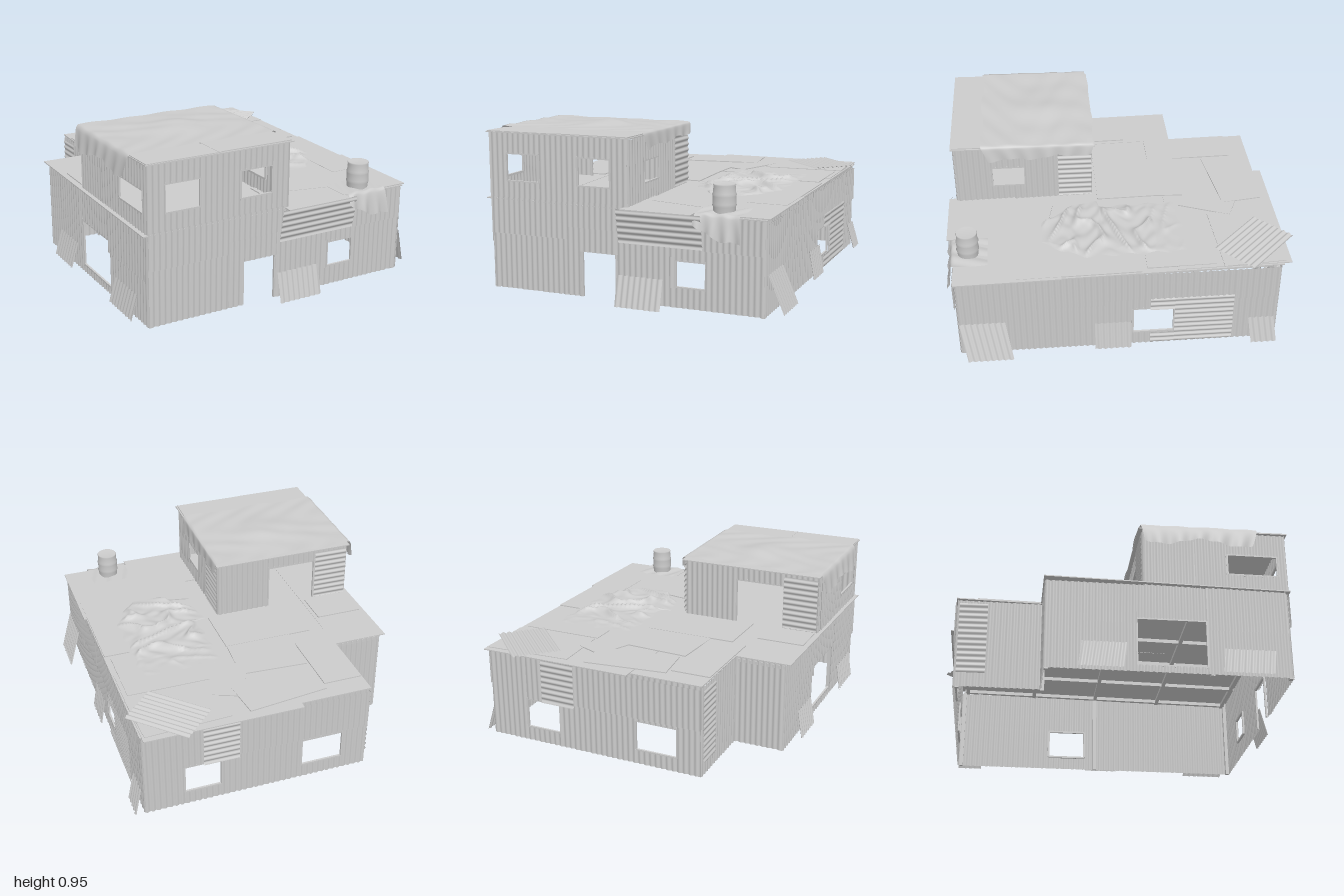
import * as THREE from 'three';

const mat = new THREE.MeshStandardMaterial({ color: 0xcccccc, side: THREE.DoubleSide });
const PERIOD = 0.034, AMP = 0.004;

function add(parent, name, geo) {
  const m = new THREE.Mesh(geo, mat);
  m.name = name;
  parent.add(m);
  return m;
}

// Corrugated upright sheet. face: 'z' spans x, 'x' spans z; sign is the outward direction.
function sheet(parent, name, face, at, sign, [u0, u1, y0, y1], o = {}) {
  const { horizontal = false, out = 0, lean = 0, skew = 0 } = o;
  const len = horizontal ? y1 - y0 : u1 - u0;
  const n = Math.max(2, Math.ceil(len / PERIOD * 6));
  const geo = new THREE.PlaneGeometry(1, 1, horizontal ? 1 : n, horizontal ? n : 1);
  const p = geo.attributes.position;
  for (let i = 0; i < p.count; i++) {
    const t = p.getY(i) + 0.5;
    const y = y0 + t * (y1 - y0);
    const w = u0 + (p.getX(i) + 0.5) * (u1 - u0);
    const d = out + lean * (1 - t) + AMP * Math.sin((horizontal ? y : w) / PERIOD * Math.PI * 2);
    const u = w + skew * t;
    if (face === 'z') p.setXYZ(i, u, y, at + sign * d);
    else p.setXYZ(i, at + sign * d, y, u);
  }
  geo.computeVertexNormals();
  return add(parent, name, geo);
}

// Corrugated wall split around rectangular openings [u0, u1, y0, y1], with thin frames
function wall(parent, name, face, at, sign, [u0, u1, y0, y1], holes = []) {
  const g = new THREE.Group();
  g.name = name;
  parent.add(g);
  const cuts = [u0, u1, ...holes.flatMap(h => [h[0], h[1]])].sort((a, b) => a - b);
  for (let i = 0; i + 1 < cuts.length; i++) {
    const a = cuts[i], b = cuts[i + 1];
    if (b - a < 1e-4) continue;
    const h = holes.find(k => k[0] <= a + 1e-5 && k[1] >= b - 1e-5);
    const spans = h ? [[y0, h[2]], [h[3], y1]] : [[y0, y1]];
    for (const [c, d] of spans) if (d - c > 0.002) sheet(g, 'wallSheet', face, at, sign, [a, b, c, d]);
  }
  for (const [a, b, c, d] of holes) {
    for (const u of [a, b]) bar(g, 'openingFrame', face, at - sign * 0.008, u, (c + d) / 2, 0.012, d - c);
    for (const y of [c, d]) if (y > y0) bar(g, 'openingFrame', face, at - sign * 0.008, (a + b) / 2, y, b - a, 0.012);
  }
}

function bar(parent, name, face, at, u, y, w, h) {
  const m = add(parent, name, new THREE.BoxGeometry(face === 'z' ? w : 0.012, h, face === 'z' ? 0.012 : w));
  m.position.set(face === 'z' ? u : at, y, face === 'z' ? at : u);
}

// Flat roof plate from its plan extents; y follows a function of z
function plate(parent, name, [x0, x1, z0, z1], y, tilt = 0, turn = 0) {
  const m = add(parent, name, new THREE.BoxGeometry(x1 - x0, 0.006, z1 - z0));
  m.position.set((x0 + x1) / 2, y, (z0 + z1) / 2);
  m.rotation.set(tilt, turn, 0);
}

// Cloth built by mapping (s, t) in 0..1 to a point
function cloth(parent, name, nu, nv, fn) {
  const geo = new THREE.PlaneGeometry(1, 1, nu, nv);
  const p = geo.attributes.position;
  for (let i = 0; i < p.count; i++) p.setXYZ(i, ...fn(p.getX(i) + 0.5, 0.5 - p.getY(i)));
  geo.computeVertexNormals();
  add(parent, name, geo);
}

const SLOPE = 0.014;
const roofY = z => 0.549 - SLOPE * z;

export function createModel() {
  const root = new THREE.Group();
  root.name = 'shack';

  // Ground floor walls
  const B = 0.02, T = 0.535;
  wall(root, 'frontWall', 'z', 0.945, 1, [-0.83, 0.81, B, T], [[-0.26, -0.05, B, 0.28], [0.3, 0.475, 0.13, 0.28]]);
  wall(root, 'rightWall', 'x', 0.805, 1, [-0.89, 0.945, B, T], [[-0.29, -0.05, 0.1, 0.28]]);
  wall(root, 'backWall', 'z', -0.89, -1, [-0.53, 0.805, B, 0.555], [[-0.385, -0.13, 0.1, 0.28], [0.35, 0.57, 0.1, 0.28]]);
  wall(root, 'notchWall', 'x', -0.53, -1, [-0.89, -0.41, B, 0.55]);
  wall(root, 'wingBackWall', 'z', -0.41, -1, [-0.83, -0.53, B, 0.55]);
  wall(root, 'leftWall', 'x', -0.83, -1, [-0.41, 0.945, B, 0.545], [[0.09, 0.48, 0.06, 0.34]]);

  // Upper room walls
  const U0 = 0.54, U1 = 0.908;
  wall(root, 'upperFrontWall', 'z', 0.95, 1, [-0.835, 0.025, U0, U1 + 0.005], [[-0.73, -0.52, 0.64, 0.8], [-0.28, -0.08, 0.64, 0.8]]);
  wall(root, 'upperRightWall', 'x', 0.025, 1, [0.13, 0.95, U0, U1], [[0.53, 0.73, 0.64, 0.77]]);
  wall(root, 'upperLeftWall', 'x', -0.835, -1, [0.13, 0.95, U0, U1], [[0.61, 0.9, 0.64, 0.77]]);
  wall(root, 'upperBackWall', 'z', 0.13, -1, [-0.835, 0.025, U0, U1 - 0.01], [[-0.62, -0.31, U0, 0.82]]);

  // Patches nailed over the walls
  const patches = [
    ['z', 0.945, 1, [-0.83, -0.34, 0.34, 0.55]], ['z', 0.945, 1, [-0.34, 0, 0.41, 0.555]],
    ['z', 0.945, 1, [-0.355, -0.26, 0.03, 0.41]], ['z', 0.945, 1, [-0.26, -0.05, 0.28, 0.41]],
    ['z', 0.945, 1, [0.46, 0.8, 0.345, 0.53]], ['z', 0.945, 1, [0.27, 0.3, 0.13, 0.3]],
    ['x', 0.805, 1, [0.11, 0.5, 0.33, 0.51]], ['x', 0.805, 1, [0.5, 0.94, 0.25, 0.515]],
    ['x', 0.805, 1, [-0.62, 0.11, 0.36, 0.535]], ['x', 0.805, 1, [-0.88, -0.63, 0.33, 0.54]],
    ['x', 0.805, 1, [-0.63, -0.29, 0.03, 0.36], true], ['x', 0.805, 1, [-0.29, -0.15, 0.28, 0.36], true],
    ['x', 0.805, 1, [-0.29, -0.15, 0.03, 0.1], true],
    ['z', -0.89, -1, [0.25, 0.46, 0.28, 0.545], true], ['z', -0.89, -1, [-0.53, 0.25, 0.3, 0.54]],
    ['x', -0.53, -1, [-0.88, -0.72, 0.1, 0.53], true],
    ['x', -0.83, -1, [-0.2, 0.09, 0.3, 0.53]], ['x', -0.83, -1, [0.48, 0.93, 0.28, 0.54]],
    ['x', 0.025, 1, [0.13, 0.33, 0.56, 0.88], true], ['z', 0.13, -1, [-0.83, -0.62, 0.56, 0.88], true],
    ['x', -0.835, -1, [0.15, 0.42, 0.56, 0.86]],
  ];
  for (const [face, at, sign, r, horizontal] of patches)
    sheet(root, 'wallPatch', face, at, sign, r, { horizontal, out: 0.011 });

  // Slatted awning, top pushed outward
  sheet(root, 'frontAwning', 'z', 0.945, 1, [-0.03, 0.46, 0.35, 0.54], { horizontal: true, out: 0.045, lean: -0.034 });

  // Loose sheets leaning against the walls
  const leaning = [
    ['z', 0.945, 1, [-0.04, 0.23, 0, 0.17], 0.04, 0],
    ['x', 0.805, 1, [0.64, 0.9, 0.03, 0.25], 0.075, 0.04], ['x', 0.805, 1, [-0.04, 0.17, 0.03, 0.2], 0.03, 0],
    ['x', 0.805, 1, [-0.89, -0.74, 0.02, 0.18], 0.04, 0.02],
    ['x', -0.83, -1, [-0.23, 0.02, 0.02, 0.18], 0.035, 0.02], ['x', -0.83, -1, [0.55, 0.83, 0.02, 0.17], 0.03, 0.02],
  ];
  for (const [face, at, sign, r, lean, skew] of leaning)
    sheet(root, 'leaningSheet', face, at, sign, r, { out: 0.014, lean, skew });

  // Lower roof: base plates, then overlapping patches
  const base = [[-0.535, 0.815, -0.9, 0.955], [-0.86, -0.53, -0.42, 0.955], [-0.11, 0.805, -0.945, -0.3],
    [0.0, 0.41, 0.6, 1.0], [0.4, 0.83, 0.35, 0.95]];
  base.forEach((r, i) => plate(root, 'roofPlate', r, roofY((r[2] + r[3]) / 2) + i * 0.002, SLOPE));
  const extra = [[-0.53, -0.3, -0.78, -0.25, 0], [-0.3, 0.1, -0.55, -0.06, -0.06], [-0.28, 0.2, -0.86, -0.62, 0.12],
    [0.3, 0.78, -0.52, -0.13, 0], [0.1, 0.28, -0.72, -0.4, -0.4], [-0.44, 0.1, -0.24, 0.1, 0],
    [0.1, 0.58, 0.42, 0.78, -0.2], [0.58, 0.81, -0.1, 0.6, 0], [-0.83, -0.55, -0.12, 0.1, 0], [0.3, 0.8, -0.9, -0.55, 0.05]];
  extra.forEach(([a, b, c, d, turn], i) =>
    plate(root, 'roofPatch', [a, b, c, d], roofY((c + d) / 2) + 0.008 + (i % 3) * 0.002, SLOPE, turn));

  // Upper roof
  plate(root, 'upperRoof', [-0.845, 0.04, 0.105, 0.965], 0.911, -0.014);
  plate(root, 'upperRoofPatch', [-0.42, 0.03, 0.75, 0.955], 0.921, -0.014);
  plate(root, 'upperRoofPatch', [-0.84, -0.4, 0.77, 0.96], 0.92, -0.014);

  // Roof beams and corner posts, seen from inside
  for (const x of [-0.5, -0.17, 0.16, 0.49, 0.78]) {
    const m = add(root, 'roofBeam', new THREE.BoxGeometry(0.022, 0.022, 1.8));
    m.position.set(x, 0.53, 0.03);
    m.rotation.x = SLOPE;
  }
  for (const z of [-0.85, -0.4, 0.02, 0.45, 0.91]) {
    const x0 = z < -0.41 ? -0.52 : -0.82;
    const m = add(root, 'crossBeam', new THREE.BoxGeometry(0.8 - x0, 0.02, 0.022));
    m.position.set((0.8 + x0) / 2, roofY(z) - 0.021, z);
  }
  for (const [x, z] of [[-0.815, 0.93], [0.79, 0.93], [0.79, -0.87], [-0.515, -0.87], [-0.515, -0.4], [-0.815, -0.395], [0.79, 0.02], [-0.815, 0.5]])
    add(root, 'post', new THREE.BoxGeometry(0.022, 0.52, 0.022)).position.set(x, 0.275, z);

  // Loose corrugated sheet on the back corner of the roof
  const loose = new THREE.PlaneGeometry(0.39, 0.28, 1, 60);
  const lp = loose.attributes.position;
  for (let i = 0; i < lp.count; i++) lp.setZ(i, 0.005 * Math.sin(lp.getY(i) / 0.034 * Math.PI * 2));
  loose.rotateX(-Math.PI / 2).rotateY(-Math.PI / 4);
  loose.computeVertexNormals();
  add(root, 'looseRoofSheet', loose).position.set(0.617, 0.578, -0.765);

  // Tarp over the upper room, hanging down on both sides
  cloth(root, 'upperTarp', 90, 50, (s, t) => {
    const z = 0.11 + 0.67 * t + 0.008 * Math.sin(s * 17);
    const hangL = 0.11 + 0.02 * Math.sin(t * 9), hangR = 0.06 + 0.03 * t + 0.008 * Math.sin(t * 14);
    const fold = 0.008 * Math.sin(t * 34);
    const top = 0.919 + 0.011 * (z - 0.11);
    if (s < 0.12) {
      const k = 1 - s / 0.12;
      return [-0.85 - 0.028 * Math.sqrt(k) + fold * k, top - hangL * k, z + 0.05 * k * (0.5 - t)];
    }
    if (s > 0.9) {
      const k = (s - 0.9) / 0.1;
      return [0.04 + 0.01 * Math.sqrt(k) + fold * k * 0.7, top - hangR * k, z + 0.06 * k * (0.5 - t)];
    }
    const x = -0.85 + 0.89 * (s - 0.12) / 0.78;
    const bump = 0.022 * Math.exp(-((x + 0.38) ** 2 / 0.02 + (z - 0.42) ** 2 / 0.02));
    const ripple = 0.004 * (1 + Math.sin(x * 21 + 3 * Math.sin(z * 9)) * Math.sin(z * 17 + x * 5));
    return [x, top + bump + ripple, z];
  });

  // Crumpled tarp on the lower roof, tapering toward the front
  cloth(root, 'crumpledTarp', 70, 80, (s, t) => {
    const z = -0.38 + 0.83 * t;
    const f = Math.max(0, (z - 0.2) / 0.25);
    const b = z < 0.1 ? 0.05 : 0;
    const l = 0.13 + b + 0.19 * f ** 1.3, r = 0.65 - 0.15 * f ** 1.3;
    const x = l + (r - l) * s + 0.01 * Math.sin(z * 40);
    const edge = Math.min(1, 8 * Math.min(s, 1 - s, t, 1 - t));
    const warp = Math.sin(x * 13 + 2 * Math.sin(z * 11));
    const folds = (1 - Math.abs(Math.sin(z * 19 + 1.6 * warp))) ** 2;
    const small = 0.5 + 0.5 * Math.sin(x * 47 + 3 * Math.sin(z * 23));
    const rise = z < -0.2 ? 0.35 : 1;
    return [x, roofY(z) + 0.013 + edge * rise * (0.03 * folds + 0.007 * small), z + 0.012 * warp * edge];
  });

  // Cloth under the barrel, draped over the front edge
  cloth(root, 'drapedCloth', 30, 30, (s, t) => {
    const x = 0.42 + 0.25 * s;
    const k = Math.max(0, (t - 0.5) / 0.5);
    const drop = (0.06 + 0.08 * Math.min(1, s * 1.8)) * k;
    const z = 0.76 + 0.2 * Math.min(1, t / 0.5) + 0.03 * Math.sqrt(k) + 0.009 * k * Math.sin(s * 20);
    return [x + 0.02 * k * (s - 0.3), 0.552 + 0.004 * Math.sin(s * 15 + t * 9) - drop, z];
  });

  // Barrel with rolled ribs
  const profile = [[0, 0], [0.056, 0], [0.058, 0.012], [0.061, 0.05], [0.065, 0.058], [0.062, 0.066], [0.062, 0.105],
    [0.065, 0.113], [0.061, 0.121], [0.058, 0.158], [0.061, 0.165], [0.058, 0.171], [0.054, 0.165], [0, 0.165]];
  add(root, 'barrel', new THREE.LatheGeometry(profile.map(p => new THREE.Vector2(...p)), 32)).position.set(0.55, 0.53, 0.87);

  return root;
}
